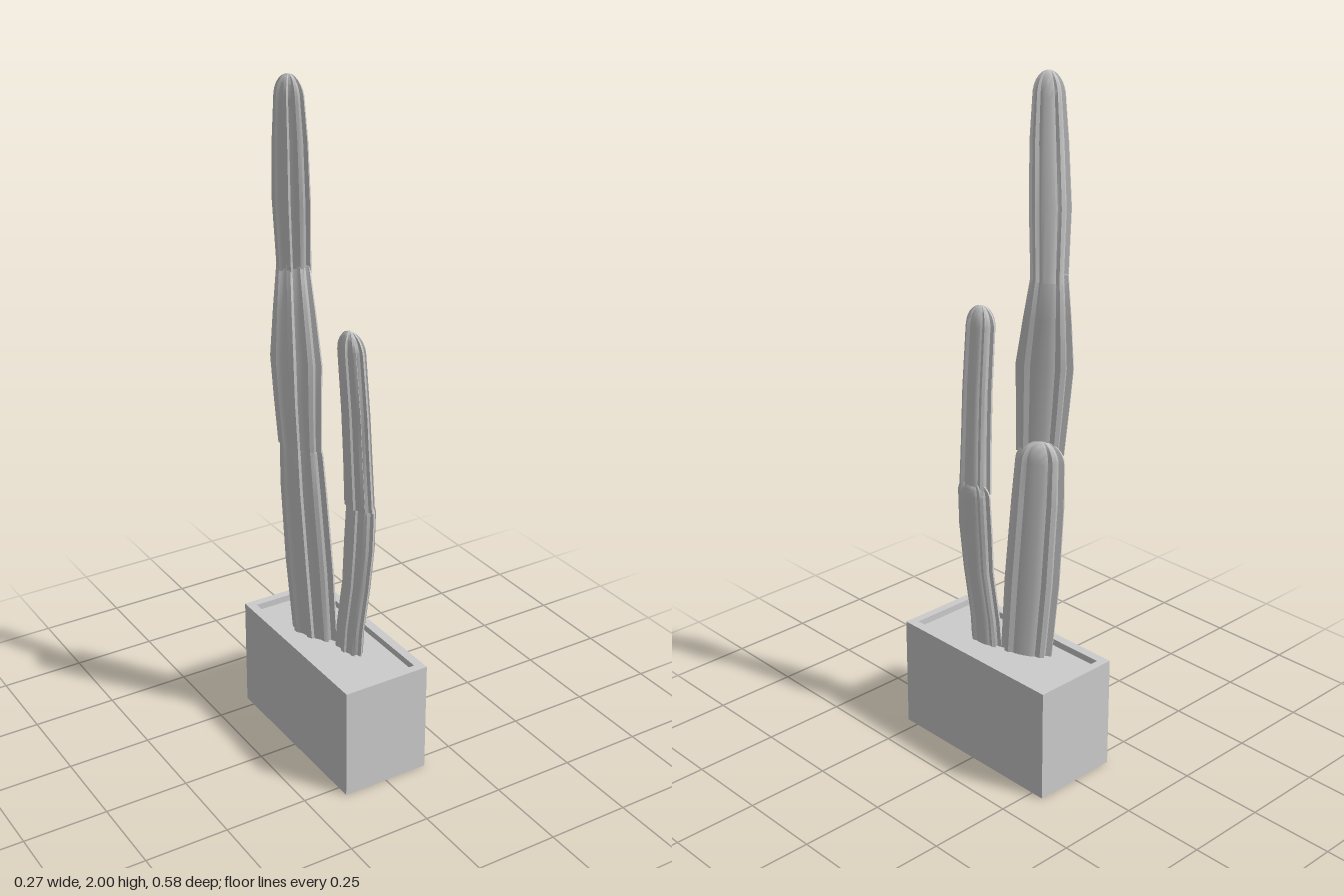
import * as THREE from 'three';
import { toCreasedNormals } from 'three/addons/utils/BufferGeometryUtils.js';

const material = new THREE.MeshStandardMaterial({ color: 0xcccccc, side: THREE.DoubleSide });

// Ribbed cross-section as [angle, radius]: seven ribs and one broad smooth face
function ribProfile() {
  const profile = [];
  for (let k = 0; k < 8; k++) {
    const a = (k * Math.PI) / 4;
    if (k === 2) {
      for (const d of [-0.4, -0.2, 0, 0.2, 0.4]) profile.push([a + d, 0.85]);
    } else {
      profile.push([a - 0.22, 0.8], [a - 0.11, 1], [a + 0.11, 1], [a + 0.22, 0.8]);
    }
  }
  return profile;
}

// Stem lofted through sections [y, x, z, halfLength, halfThickness], closed by a dome if capHeight > 0
function stem(name, sections, turnDegrees, capHeight) {
  const turn = THREE.MathUtils.degToRad(turnDegrees);
  const s = Math.sin(turn), c = Math.cos(turn);
  const profile = ribProfile(), n = profile.length;
  const scaled = ([y, x, z, l, t], k, dy = 0) => [y + dy, x, z, l * k, t * k];
  const last = sections[sections.length - 1];
  const prev = sections[sections.length - 2];
  const rings = [scaled(sections[0], 0.001), ...sections];
  const capSteps = 7;
  for (let i = 1; i <= capSteps; i++) {
    const a = (i / capSteps) * Math.PI / 2;
    const rise = capHeight * Math.sin(a);
    const lean = rise / (last[0] - prev[0]);
    const ring = scaled(last, Math.max(Math.cos(a), 0.001), rise);
    ring[1] += (last[1] - prev[1]) * lean;
    ring[2] += (last[2] - prev[2]) * lean;
    rings.push(ring);
  }

  const position = [], index = [];
  for (const [y, x, z, l, t] of rings) {
    for (const [a, r] of profile) {
      const u = Math.cos(a) * r * l, v = Math.sin(a) * r * t;
      position.push(x + u * s + v * c, y, z + u * c - v * s);
    }
  }
  for (let i = 0; i < rings.length - 1; i++) {
    for (let j = 0; j < n; j++) {
      const a = i * n + j, b = i * n + (j + 1) % n;
      index.push(a, b, b + n, a, b + n, a + n);
    }
  }
  const geometry = new THREE.BufferGeometry();
  geometry.setAttribute('position', new THREE.Float32BufferAttribute(position, 3));
  geometry.setIndex(index);
  const mesh = new THREE.Mesh(toCreasedNormals(geometry, 0.5), material);
  mesh.name = name;
  return mesh;
}

function rectangle(target, w, d) {
  return target.moveTo(-w, -d).lineTo(w, -d).lineTo(w, d).lineTo(-w, d).closePath();
}

function createPlanter() {
  const planter = new THREE.Group();
  planter.name = 'planter';
  // Walls with a thin rim
  const shape = rectangle(new THREE.Shape(), 0.135, 0.29);
  shape.holes.push(rectangle(new THREE.Path(), 0.108, 0.265));
  const walls = new THREE.Mesh(
    new THREE.ExtrudeGeometry(shape, { depth: 0.34, bevelEnabled: false }).rotateX(-Math.PI / 2), material);
  walls.name = 'planterWalls';
  // Soil filling the box just below the rim
  const soil = new THREE.Mesh(new THREE.BoxGeometry(0.216, 0.32, 0.53).translate(0, 0.16, 0), material);
  soil.name = 'soil';
  planter.add(walls, soil);
  return planter;
}

export function createModel() {
  const model = new THREE.Group();
  model.name = 'pottedCactus';
  model.add(createPlanter());

  // Tall cactus: three stacked stems
  const tall = new THREE.Group();
  tall.name = 'tallCactus';
  tall.add(
    stem('tallLowerStem', [
      [0.31, -0.025, -0.06, 0.078, 0.03],
      [0.55, -0.037, -0.07, 0.083, 0.032],
      [0.80, -0.05, -0.078, 0.079, 0.032],
      [0.92, -0.055, -0.08, 0.073, 0.03],
    ], 25, 0.065),
    stem('tallMiddleStem', [
      [0.94, -0.068, -0.067, 0.07, 0.024],
      [1.08, -0.070, -0.074, 0.077, 0.028],
      [1.20, -0.070, -0.08, 0.083, 0.029],
      [1.34, -0.065, -0.094, 0.068, 0.028],
      [1.47, -0.061, -0.106, 0.052, 0.025],
    ], 28, 0.01),
    stem('tallUpperStem', [
      [1.45, -0.059, -0.106, 0.052, 0.027],
      [1.65, -0.072, -0.094, 0.058, 0.028],
      [1.82, -0.085, -0.075, 0.053, 0.026],
      [1.93, -0.092, -0.066, 0.045, 0.024],
    ], 31, 0.07));

  // Short cactus: two stacked stems
  const short = new THREE.Group();
  short.name = 'shortCactus';
  short.add(
    stem('shortLowerStem', [
      [0.31, 0.015, 0.063, 0.056, 0.025],
      [0.40, 0.016, 0.07, 0.055, 0.025],
      [0.55, 0.021, 0.092, 0.055, 0.026],
      [0.68, 0.027, 0.097, 0.06, 0.027],
      [0.79, 0.031, 0.098, 0.058, 0.026],
    ], 8, 0.045),
    stem('shortUpperStem', [
      [0.80, 0.025, 0.1, 0.057, 0.029],
      [0.95, 0.015, 0.105, 0.053, 0.029],
      [1.10, 0.002, 0.113, 0.052, 0.028],
      [1.28, -0.013, 0.115, 0.05, 0.028],
    ], 8, 0.06));

  model.add(tall, short);
  return model;
}
